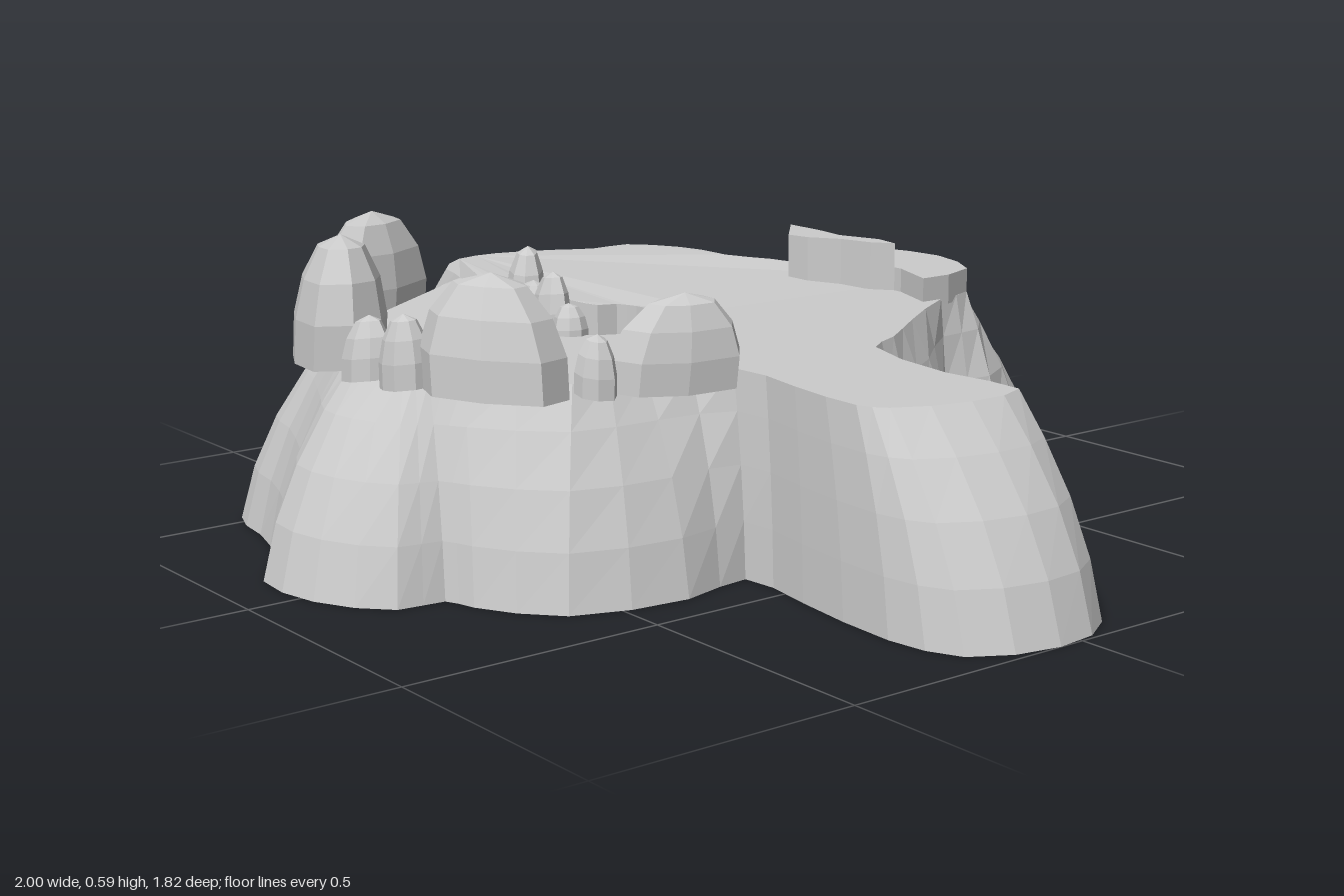
import * as THREE from 'three';

const rockMat = new THREE.MeshStandardMaterial({ color: 0xcccccc, flatShading: true, side: THREE.DoubleSide });

// Foot and rim of the cliff as matching [x, z] pairs, clockwise from the east arm
const FOOT = [
  [.95, -.10], [1, .05], [.94, .21], [.80, .25], [.56, .23], [.39, .22], [.42, .37], [.37, .59], [.23, .69], [.17, .71],
  [.16, .80], [.03, .89], [-.13, .90], [-.25, .81], [-.40, .76], [-.53, .73], [-.55, .55], [-.61, .41], [-.71, .31], [-.70, .24],
  [-.88, .20], [-.97, .11], [-1, 0], [-.97, -.19], [-.87, -.25], [-.87, -.39], [-.74, -.52], [-.57, -.57], [-.45, -.69],
  [-.32, -.84], [-.16, -.91], [.06, -.85], [.16, -.65], [.13, -.52], [.31, -.40], [.39, -.21], [.43, -.12], [.67, -.09]];
const RIM = [
  [.76, -.08], [.78, .05], [.73, .19], [.68, .22], [.51, .21], [.33, .20], [.27, .35], [.26, .50], [.12, .63], [.07, .67],
  [.03, .70], [-.05, .72], [-.11, .72], [-.18, .70], [-.33, .62], [-.41, .58], [-.45, .50], [-.50, .35], [-.55, .28], [-.56, .20],
  [-.66, .17], [-.75, .08], [-.76, -.02], [-.72, -.14], [-.68, -.22], [-.68, -.31], [-.58, -.38], [-.47, -.42], [-.41, -.50],
  [-.36, -.55], [-.24, -.67], [-.10, -.70], [.05, -.64], [.08, -.54], [.20, -.35], [.30, -.21], [.35, -.12], [.59, -.07]];
const PIT = [
  [-.08, -.11], [-.06, -.06], [-.03, -.04], [-.04, .03], [-.03, .10], [-.04, .19], [-.07, .24], [-.10, .27], [-.17, .26], [-.24, .25],
  [-.32, .21], [-.39, .13], [-.34, .08], [-.29, .05], [-.28, .01], [-.24, -.01], [-.18, -.02], [-.15, -.07]];

// Plateau height: slightly raised toward the west
const topY = (x, z) => .372 + .036 * THREE.MathUtils.smoothstep(-x, .25, .55) * (1 - THREE.MathUtils.smoothstep(z, .2, .35));

// Smooth closed loop through the pairs, two samples per pair
function loop(pairs) {
  const curve = new THREE.CatmullRomCurve3(pairs.map(([x, z]) => new THREE.Vector3(x, 0, z)), true);
  const n = pairs.length * 2;
  return Array.from({ length: n }, (_, i) => curve.getPoint(i / n));
}

// Skin a stack of closed loops
function skin(rings) {
  const n = rings[0].length, pos = [], index = [];
  rings.forEach(r => r.forEach(p => pos.push(p.x, p.y, p.z)));
  for (let k = 0; k < rings.length - 1; k++) {
    for (let i = 0; i < n; i++) {
      const a = k * n + i, b = k * n + (i + 1) % n;
      index.push(a, a + n, b, b, a + n, b + n);
    }
  }
  const g = new THREE.BufferGeometry();
  g.setAttribute('position', new THREE.Float32BufferAttribute(pos, 3));
  g.setIndex(index);
  g.computeVertexNormals();
  return g;
}

const shapeOf = pts => new THREE.Shape(pts.map(p => new THREE.Vector2(p.x, -p.z)));

function slab(pairs, y0, y1) {
  const shape = new THREE.Shape(pairs.map(([x, z]) => new THREE.Vector2(x, -z)));
  const g = new THREE.ExtrudeGeometry(shape, { depth: y1 - y0, bevelEnabled: false });
  return g.rotateX(-Math.PI / 2).translate(0, y0, 0);
}

// Faceted bullet-shaped boulder with an uneven, leaning crown
function boulder(x, z, w, d, top, turn, seed) {
  const profile = [[1, 0], [1, .35], [.83, .66], [.5, .91], [0, 1]].map(p => new THREE.Vector2(...p));
  const g = new THREE.LatheGeometry(profile, 8);
  const p = g.attributes.position;
  for (let i = 0; i < p.count; i++) {
    const px = p.getX(i), py = p.getY(i), pz = p.getZ(i), a = Math.atan2(pz, px);
    const s = 1 + .09 * Math.cos(3 * a + seed * 2.1);
    p.setXYZ(i, px * s + .1 * py * Math.sin(seed), py - .06 * px * Math.cos(seed), pz * s - .12 * py);
  }
  const base = .355;
  g.scale(w / 2, top - base, d / 2).rotateY(turn).translate(x, base, z);
  g.computeVertexNormals();
  return g;
}

export function createModel() {
  const model = new THREE.Group();
  const add = (geometry, name, parent = model) => {
    const m = new THREE.Mesh(geometry, rockMat);
    m.name = name;
    parent.add(m);
  };

  // Flared cliff wall
  const foot = loop(FOOT), rim = loop(RIM), pit = loop(PIT);
  const rings = [[0, 0], [.28, .15], [.55, .39], [.8, .7], [1, 1]].map(([h, t]) => foot.map((f, i) => {
    const p = f.clone().lerp(rim[i], t);
    p.y = h * topY(rim[i].x, rim[i].z);
    return p;
  }));
  add(skin(rings), 'cliffWall');

  // Plateau with the pit opening
  const shape = shapeOf(rim);
  shape.holes.push(new THREE.Path(pit.map(p => new THREE.Vector2(p.x, -p.z))));
  const top = new THREE.ShapeGeometry(shape).rotateX(-Math.PI / 2);
  const tp = top.attributes.position;
  for (let i = 0; i < tp.count; i++) tp.setY(i, topY(tp.getX(i), tp.getZ(i)));
  top.computeVertexNormals();
  add(top, 'plateau');

  // Pit wall, open at the bottom
  const pitRings = [1, .75, .5].map(h => pit.map(p => new THREE.Vector3(p.x, h * topY(p.x, p.z), p.z)));
  add(skin(pitRings), 'pitWall');

  // Raised ledge at the back and the low parapet in front of it
  add(slab([[-.37, -.54], [-.24, -.67], [-.18, -.69], [-.10, -.70], [-.02, -.68], [.05, -.64], [.08, -.56], [.08, -.49],
    [-.03, -.53], [-.10, -.53], [-.2, -.50], [-.28, -.51]], .36, .42), 'backLedge');
  add(slab([[-.37, -.52], [-.27, -.43], [-.22, -.44], [-.16, -.48], [-.09, -.50], [-.05, -.53], [-.11, -.54], [-.2, -.51],
    [-.28, -.52]], .36, .47), 'backParapet');

  // Boulders: x, z, width, depth, top, turn
  const place = (list, groupName, name) => {
    const group = new THREE.Group();
    group.name = groupName;
    list.forEach((b, i) => add(boulder(...b, i + 1), name, group));
    model.add(group);
  };
  place([
    [-.53, .44, .15, .29, .57, .35], [-.23, .68, .26, .17, .59, -.3], [-.06, .715, .10, .08, .47, .2],
    [.04, .70, .10, .07, .485, .5], [.18, .60, .27, .17, .565, .65], [.29, .47, .07, .08, .46, .3],
    [.32, .32, .11, .25, .52, -.25]], 'rimBoulders', 'rimBoulder');
  place([
    [-.35, .18, .12, .08, .50, -.7], [-.26, .23, .11, .07, .45, -.3],
    [-.17, .245, .10, .07, .48, -.1], [-.10, .255, .08, .06, .43, .1]], 'pitStones', 'pitStone');

  return model;
}
